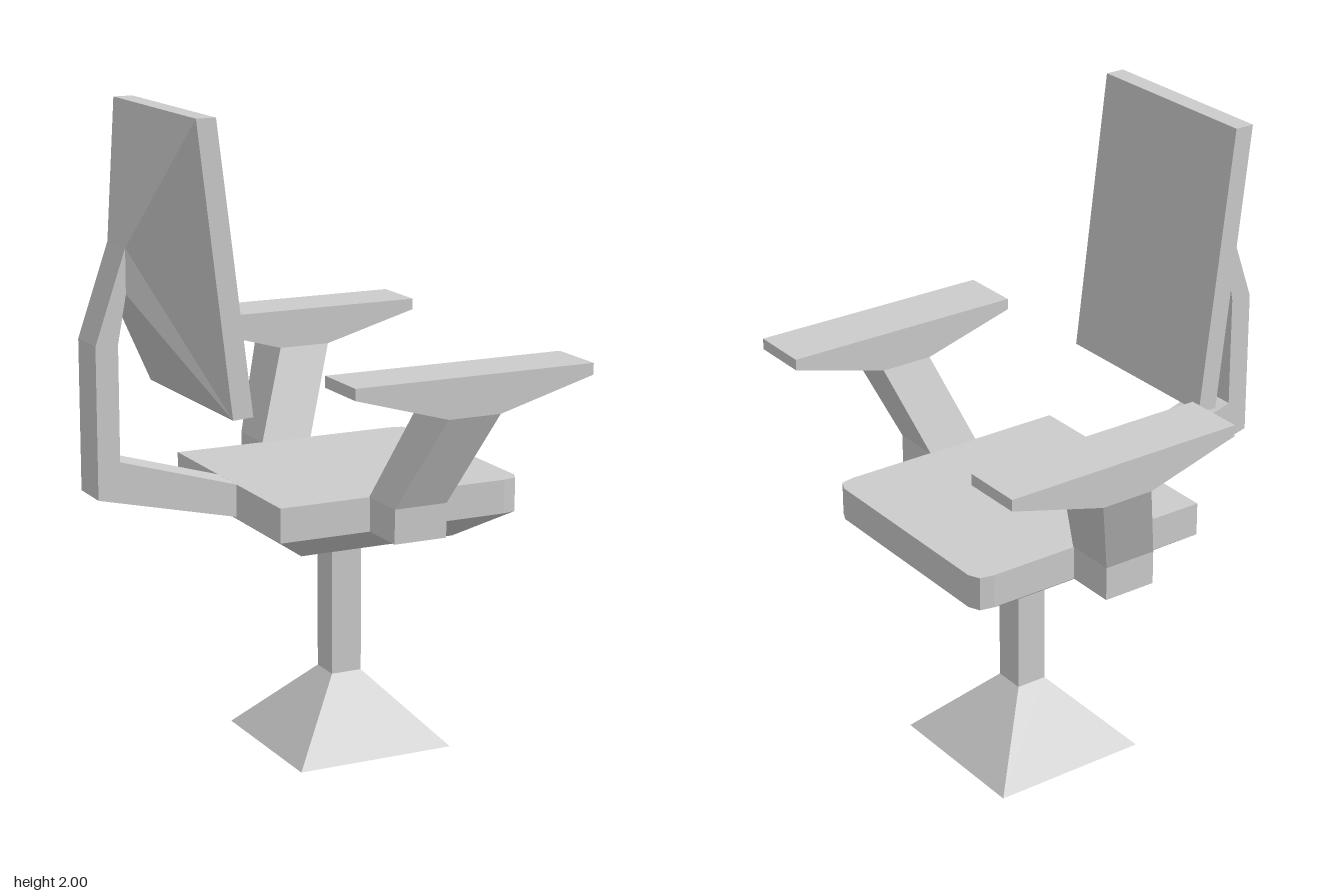
import * as THREE from 'three';

const material = new THREE.MeshStandardMaterial({ color: 0xcccccc, flatShading: true });

// Solid through convex rings of [x, y, z]; each ring runs counterclockwise seen from the last ring's side
function loft(name, rings) {
  const pos = [];
  const tri = (...pts) => {
    const [a, b, c] = pts.map((p) => new THREE.Vector3(...p));
    if (b.sub(a).cross(c.sub(a)).length() > 1e-8) pts.forEach((p) => pos.push(...p));
  };
  const n = rings[0].length;
  for (let r = 0; r + 1 < rings.length; r++) {
    const a = rings[r], b = rings[r + 1];
    for (let i = 0; i < n; i++) {
      const j = (i + 1) % n;
      tri(a[i], a[j], b[j]);
      tri(a[i], b[j], b[i]);
    }
  }
  const first = rings[0], last = rings[rings.length - 1];
  for (let i = 1; i + 1 < n; i++) {
    tri(first[0], first[i + 1], first[i]);
    tri(last[0], last[i], last[i + 1]);
  }
  const geometry = new THREE.BufferGeometry();
  geometry.setAttribute('position', new THREE.Float32BufferAttribute(pos, 3));
  geometry.computeVertexNormals();
  const mesh = new THREE.Mesh(geometry, material);
  mesh.name = name;
  return mesh;
}

// Side profile of [x, y] points extruded across z
function profile(name, points, z0, z1) {
  const shape = new THREE.Shape(points.map((p) => new THREE.Vector2(...p)));
  const geometry = new THREE.ExtrudeGeometry(shape, { depth: z1 - z0, bevelEnabled: false });
  geometry.translate(0, 0, z0);
  const mesh = new THREE.Mesh(geometry, material);
  mesh.name = name;
  return mesh;
}

// Horizontal and upright rectangular rings
const flatRect = (y, x0, x1, z0, z1) => [[x1, y, z1], [x1, y, z0], [x0, y, z0], [x0, y, z1]];
const square = (y, h) => flatRect(y, 0.083 - h, 0.083 + h, -h, h);
const uprightRect = (xTop, yTop, xLow, yLow, h) =>
  [[xTop, yTop, -h], [xTop, yTop, h], [xLow, yLow, h], [xLow, yLow, -h]];

export function createModel() {
  // The chair faces local +x and is turned slightly about the vertical
  const chair = new THREE.Group();
  chair.name = 'chair';
  chair.rotation.y = THREE.MathUtils.degToRad(-12.5);
  chair.position.set(0.009, 0, -0.042);

  // Pedestal
  chair.add(loft('base', [square(0, 0.256), square(0.22, 0.05)]));
  chair.add(loft('post', [square(0.22, 0.05), square(0.68, 0.05)]));

  // Seat with clipped front corners and a tapered underside
  const outline = [
    [0.45, 0.374], [0.492, 0.365], [0.508, 0.33],
    [0.508, -0.33], [0.492, -0.365], [0.45, -0.374],
    [-0.296, -0.374], [-0.296, 0.374],
  ];
  const seatRing = (y) => outline.map(([x, z]) => [x, y, z]);
  const underRing = outline.map(([x, z]) => [x > 0 ? 0.338 : -0.172, 0.68, Math.sign(z) * 0.256]);
  chair.add(loft('seat', [underRing, seatRing(0.765), seatRing(0.87)]));

  // Armrests on leaning supports
  for (const [side, s] of [['left', -1], ['right', 1]]) {
    const span = (a, b) => (s > 0 ? [a, b] : [-b, -a]);
    const arm = new THREE.Group();
    arm.name = side + 'Arm';
    arm.add(loft('armSupport', [
      flatRect(0.765, -0.005, 0.165, ...span(0.37, 0.53)),
      flatRect(0.87, -0.005, 0.165, ...span(0.37, 0.53)),
      flatRect(1.15, 0.103, 0.272, ...span(0.46, 0.65)),
    ]));
    arm.add(profile('armrest', [
      [0.103, 1.15], [0.272, 1.15], [0.581, 1.235], [0.581, 1.27], [-0.195, 1.27], [-0.195, 1.235],
    ], ...span(0.46, 0.65)));
    chair.add(arm);
  }

  // Bent bracket from the seat up to the back
  chair.add(profile('backBracket', [
    [-0.29, 0.768], [-0.29, 0.868], [-0.667, 0.98], [-0.667, 1.33],
    [-0.64, 1.475], [-0.64, 1.61], [-0.737, 1.33], [-0.737, 0.872],
  ], -0.068, 0.068));

  // Reclined backrest, its rear narrowing to the bracket
  chair.add(loft('backrest', [
    uprightRect(-0.64, 1.61, -0.64, 1.475, 0.068),
    uprightRect(-0.518, 2, -0.412, 1.128, 0.305),
    uprightRect(-0.457, 2, -0.348, 1.132, 0.305),
  ]));

  const model = new THREE.Group();
  model.name = 'swivelChair';
  model.add(chair);
  return model;
}
